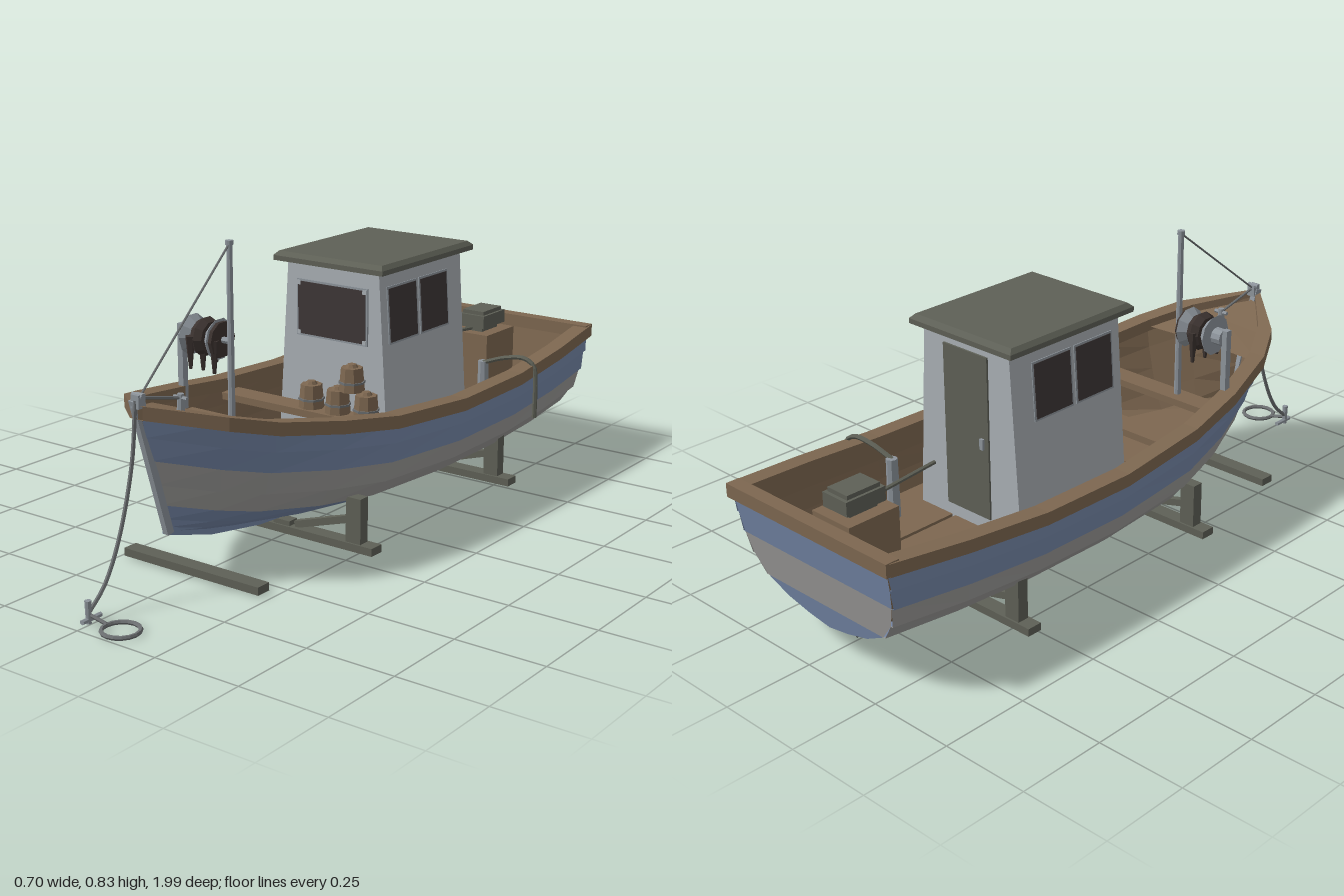
import * as THREE from 'three';

const mat = (name, color, side = THREE.FrontSide) => {
  const m = new THREE.MeshStandardMaterial({ color, side, flatShading: true });
  m.name = name;
  return m;
};
const V = (x, y, z) => new THREE.Vector3(x, y, z);

export function createModel() {
  const blue = mat('hullBlue', 0x7486a6, THREE.DoubleSide);
  const grey = mat('hullGrey', 0x9b9a98, THREE.DoubleSide);
  const wood = mat('wood', 0x7d6750, THREE.DoubleSide);
  const olive = mat('olive', 0x5e6056);
  const white = mat('cabinPaint', 0xa9afb4);
  const glass = mat('darkGlass', 0x3d3636);
  const metal = mat('metal', 0x8d949b);
  const net = mat('darkNet', 0x3b322f);
  const rope = mat('rope', 0x6d7072);

  const root = new THREE.Group();
  root.name = 'fishingBoat';
  const boat = new THREE.Group();
  boat.name = 'boat';
  boat.position.x = -0.008;
  root.add(boat);

  const add = (name, geo, m, x = 0, y = 0, z = 0) => {
    const mesh = new THREE.Mesh(geo, m);
    mesh.name = name;
    mesh.position.set(x, y, z);
    boat.add(mesh);
    return mesh;
  };
  const box = (name, m, w, h, d, x, y, z) => add(name, new THREE.BoxGeometry(w, h, d), m, x, y, z);
  const cyl = (name, m, r1, r2, h, x, y, z, n = 8) => add(name, new THREE.CylinderGeometry(r1, r2, h, n), m, x, y, z);
  // Straight rod or square bar between two points
  const rod = (name, m, a, b, r, n = 6) => {
    const c = a.clone().add(b).multiplyScalar(0.5);
    const o = cyl(name, m, r, r, a.distanceTo(b), c.x, c.y, c.z, n);
    o.quaternion.setFromUnitVectors(V(0, 1, 0), b.clone().sub(a).normalize());
    return o;
  };
  const bar = (name, m, a, b, w) => {
    const c = a.clone().add(b).multiplyScalar(0.5);
    const o = box(name, m, w, w, a.distanceTo(b), c.x, c.y, c.z);
    o.lookAt(b);
    return o;
  };
  const tube = (name, m, pts, r, seg = 20) =>
    add(name, new THREE.TubeGeometry(new THREE.CatmullRomCurve3(pts), seg, r, 6), m);
  // Faceted surface through a grid of points
  const surface = (name, m, rows) => {
    const p = [];
    for (let i = 0; i < rows.length - 1; i++) {
      for (let j = 0; j < rows[i].length - 1; j++) {
        const [a, b, c, d] = [rows[i][j], rows[i][j + 1], rows[i + 1][j + 1], rows[i + 1][j]];
        for (const v of [a, b, c, a, c, d]) p.push(v.x, v.y, v.z);
      }
    }
    const g = new THREE.BufferGeometry();
    g.setAttribute('position', new THREE.Float32BufferAttribute(p, 3));
    g.computeVertexNormals();
    return add(name, g, m);
  };

  // Hull stations: z, half beam, sheer height, keel height, bow sharpness, rake
  const stations = [
    [-0.985, 0.29, 0.385, 0.085, 0, 0.05], [-0.75, 0.315, 0.365, 0.075, 0, 0.03],
    [-0.5, 0.328, 0.345, 0.07, 0, 0.01], [-0.2, 0.328, 0.34, 0.068, 0, 0],
    [0.1, 0.31, 0.36, 0.07, 0.05, 0], [0.3, 0.28, 0.39, 0.08, 0.25, -0.02],
    [0.5, 0.225, 0.425, 0.1, 0.55, -0.05], [0.62, 0.16, 0.455, 0.12, 0.8, -0.07],
    [0.755, 0.006, 0.49, 0.15, 1, -0.09],
  ];
  const fy = [1, 0.79, 0.6, 0.4, 0.23, 0.11, 0.04, 0];
  const fxMid = [1, 0.99, 0.965, 0.9, 0.76, 0.52, 0.25, 0];
  const fxBow = [1, 0.86, 0.7, 0.55, 0.42, 0.28, 0.13, 0];
  const hullPoint = (st, j, s, out = 0) => {
    const [z, hb, top, keel, v, rake] = st;
    const x = hb * THREE.MathUtils.lerp(fxMid[j], fxBow[j], v) + out * Math.min(1, hb / 0.1);
    return V(s * Math.max(0, x), THREE.MathUtils.lerp(keel, top, fy[j]), z + rake * (1 - fy[j]));
  };
  const strakePaint = [blue, blue, grey, grey, blue, blue, blue];
  const floorY = 0.18;
  const innerPoint = (st, j, s) => {
    const p = hullPoint(st, j, s, -0.02);
    p.y = Math.max(p.y, floorY);
    return p;
  };

  // Overlapping planks, lining and gunwale on both sides
  for (const s of [-1, 1]) {
    strakePaint.forEach((m, j) => surface('hullPlank', m, stations.map((st) => [
      hullPoint(st, j, s), hullPoint(st, j + 1, s, j < 4 ? 0.007 : 0), hullPoint(st, j + 1, s),
    ])));
    surface('hullLining', wood, stations.map((st) => fy.map((_, j) => innerPoint(st, j, s))));
    surface('gunwale', wood, stations.map(([z, hb, y], i) => {
      const o = s * (hb + 0.015), n = s * Math.max(0, hb - 0.035), zz = i === 8 ? z + 0.008 : z;
      return [V(o, y - 0.018, zz), V(o, y + 0.018, zz), V(n, y + 0.018, zz), V(n, y - 0.018, zz), V(o, y - 0.018, zz)];
    }));
  }
  // Transom, painted in bands
  const aft = stations[0];
  strakePaint.forEach((m, j) => {
    surface('transom', m, [-1, 1].map((s) => [hullPoint(aft, j, s), hullPoint(aft, j + 1, s)]));
    surface('transomLining', wood, [-1, 1].map((s) => [innerPoint(aft, j, s), innerPoint(aft, j + 1, s)])).position.z = 0.022;
  });
  box('sternRail', wood, 0.605, 0.038, 0.04, 0, 0.386, -0.975);

  // Foredeck and thwarts
  surface('foredeck', wood, stations.slice(6).map(([z, hb, y]) => [V(-hb, y - 0.008, z), V(0, y, z), V(hb, y - 0.008, z)]));
  box('middleThwart', wood, 0.59, 0.02, 0.07, 0, 0.325, 0.065);
  box('forwardThwart', wood, 0.5, 0.02, 0.065, 0, 0.33, 0.305);
  for (const x of [-0.13, 0, 0.13]) box('floorBoard', wood, 0.118, 0.008, 1.2, x, floorY + 0.004, -0.32);

  // Keel and stem
  const keelShape = new THREE.Shape([
    [0.67, 0.145], [0.5, 0.095], [0.3, 0.062], [0.1, 0.05], [-0.7, 0.045],
    [-0.7, 0.08], [0.1, 0.08], [0.3, 0.09], [0.5, 0.12], [0.67, 0.17],
  ].map(([a, b]) => new THREE.Vector2(a, b)));
  const keelGeo = new THREE.ExtrudeGeometry(keelShape, { depth: 0.018, bevelEnabled: false });
  keelGeo.rotateY(-Math.PI / 2).translate(0.009, 0, 0);
  add('keel', keelGeo, blue);
  bar('stem', metal, V(0, 0.52, 0.762), V(0, 0.15, 0.666), 0.02);
  box('stemHead', metal, 0.026, 0.035, 0.026, 0, 0.517, 0.755);
  cyl('bowRoller', metal, 0.008, 0.008, 0.035, 0, 0.53, 0.755).rotation.z = Math.PI / 2;
  cyl('mooringBitt', metal, 0.009, 0.011, 0.055, 0, 0.472, 0.6);
  rod('bittCrossbar', metal, V(-0.022, 0.488, 0.6), V(0.022, 0.488, 0.6), 0.006);
  rod('bowLine', rope, V(0, 0.488, 0.6), V(0, 0.525, 0.755), 0.004);

  // Wheelhouse with walls leaning inward
  const wallX = (y) => 0.155 + 0.065 * (0.715 - y);
  const cabinGeo = new THREE.BoxGeometry(2, 0.535, 0.405);
  const cp = cabinGeo.attributes.position;
  for (let i = 0; i < cp.count; i++) cp.setX(i, cp.getX(i) * wallX(cp.getY(i) + 0.4475));
  cabinGeo.computeVertexNormals();
  add('cabin', cabinGeo, white, 0, 0.4475, -0.2425);
  box('roofSlab', olive, 0.372, 0.014, 0.458, 0, 0.721, -0.24);
  const roof = cyl('roofTop', olive, 0.94, 1, 0.012, 0, 0.734, -0.24, 4);
  roof.geometry.rotateY(Math.PI / 4);
  roof.scale.set(0.372 / Math.SQRT2, 1, 0.458 / Math.SQRT2);
  box('frontWindowFrame', metal, 0.242, 0.162, 0.006, 0, 0.585, -0.038);
  box('frontWindow', glass, 0.23, 0.15, 0.009, 0, 0.585, -0.037);
  for (const x of [-1, 1]) for (const y of [-1, 1]) {
    box('windowCorner', white, 0.012, 0.012, 0.009, x * 0.112, 0.585 + y * 0.071, -0.036);
  }
  for (const s of [-1, 1]) for (const z of [-0.143, -0.298]) {
    const f = box('sideWindowFrame', metal, 0.006, 0.162, 0.144, s * wallX(0.59), 0.59, z);
    const g = box('sideWindow', glass, 0.0095, 0.15, 0.132, s * wallX(0.59), 0.59, z);
    f.rotation.z = g.rotation.z = s * 0.065;
  }
  box('cabinDoor', olive, 0.16, 0.46, 0.009, 0, 0.455, -0.446);
  box('doorHandle', metal, 0.012, 0.03, 0.01, -0.06, 0.44, -0.453);

  // Mast and forestay
  cyl('mast', metal, 0.008, 0.01, 0.5, -0.077, 0.583, 0.31);
  cyl('mastCap', metal, 0.011, 0.011, 0.012, -0.077, 0.828, 0.31);
  rod('forestay', rope, V(-0.077, 0.825, 0.31), V(0, 0.52, 0.755), 0.003);

  // Net hauler, shaft running along x
  box('haulerPost', metal, 0.018, 0.24, 0.02, -0.252, 0.465, 0.305);
  rod('haulerShaft', metal, V(-0.25, 0.56, 0.305), V(-0.077, 0.56, 0.305), 0.009);
  for (const [name, m, x, w, r1, r2] of [
    ['haulerHub', metal, -0.23, 0.03, 0.024, 0.024], ['haulerFlange', metal, -0.202, 0.022, 0.058, 0.038],
    ['netBundle', net, -0.176, 0.02, 0.045, 0.056], ['netBundle', net, -0.156, 0.02, 0.056, 0.045],
    ['haulerFlange', metal, -0.13, 0.022, 0.038, 0.058], ['netEdge', net, -0.114, 0.012, 0.05, 0.05],
  ]) cyl(name, m, r1, r2, w, x, 0.56, 0.305, 10).rotation.z = Math.PI / 2;
  [[-0.18, 0.05], [-0.162, 0.02], [-0.17, -0.045], [-0.114, 0.03]].forEach(([x, dz], i) => {
    cyl('hangingNet', net, 0.014, 0.005, 0.09, x, 0.525 - 0.008 * (i % 2), 0.305 + dz, 5);
  });

  // Stacked pots on the thwart
  for (const [x, y] of [[0.005, 0.37], [0.095, 0.37], [0.19, 0.37], [0.142, 0.44]]) {
    cyl('pot', wood, 0.03, 0.036, 0.066, x, y, 0.065, 8);
    cyl('potBand', rope, 0.037, 0.037, 0.006, x, y - 0.008, 0.065, 8);
    cyl('potLid', wood, 0.012, 0.018, 0.01, x, y + 0.037, 0.065, 8);
  }

  // Engine, tiller and propeller
  box('engineBox', wood, 0.14, 0.2, 0.16, 0, 0.28, -0.83);
  box('engineBase', olive, 0.06, 0.02, 0.09, 0, 0.388, -0.83);
  box('engineCowl', olive, 0.09, 0.04, 0.125, 0, 0.414, -0.832);
  box('engineCowlTop', olive, 0.074, 0.014, 0.105, 0, 0.439, -0.832);
  rod('tiller', olive, V(0, 0.392, -0.77), V(0, 0.41, -0.565), 0.006);
  rod('driveLeg', olive, V(0, 0.16, -0.84), V(0, 0.05, -0.84), 0.013);
  rod('propellerHub', olive, V(0, 0.055, -0.79), V(0, 0.055, -0.885), 0.011);
  for (let k = 0; k < 3; k++) {
    const b = box('propellerBlade', olive, 0.018, 0.028, 0.005, 0, 0, 0);
    b.geometry.rotateY(0.5).translate(0, 0.016, 0);
    b.position.set(0, 0.055, -0.87);
    b.rotation.z = (k * Math.PI * 2) / 3;
  }

  // Bilge pump with a hose over the side
  cyl('bilgePump', metal, 0.016, 0.018, 0.18, 0.175, 0.27, -0.56);
  tube('dischargeHose', olive, [V(0.175, 0.355, -0.557), V(0.25, 0.38, -0.565), V(0.31, 0.385, -0.572),
    V(0.338, 0.365, -0.575), V(0.345, 0.32, -0.575), V(0.345, 0.21, -0.575)], 0.007);

  // Cradle under the hull
  for (const z of [0.18, -0.52]) {
    box('cradleBeam', olive, 0.616, 0.022, 0.045, 0, 0.019, z);
    box('cradleBlock', olive, 0.056, 0.016, 0.035, 0, 0.036, z);
    for (const s of [-1, 1]) {
      box('cradlePost', olive, 0.048, 0.13, 0.034, s * 0.243, 0.093, z);
      bar('cradleBrace', olive, V(s * 0.225, 0.09, z), V(s * 0.04, 0.038, z), 0.02);
    }
  }
  box('looseBeam', olive, 0.456, 0.022, 0.045, 0, 0.017, 0.56);

  // Mooring line, stake and ground ring
  tube('mooringLine', rope, [V(0, 0.52, 0.765), V(0, 0.36, 0.785), V(0, 0.18, 0.84), V(0, 0.08, 0.895), V(0, 0.03, 0.95)], 0.0055);
  cyl('mooringStake', metal, 0.009, 0.007, 0.06, 0, 0.032, 0.952);
  rod('stakeBar', metal, V(0, 0.012, 0.91), V(0, 0.012, 0.975), 0.007);
  rod('ringLine', rope, V(0, 0.025, 0.95), V(0.052, 0.012, 0.945), 0.005);
  add('groundRing', new THREE.TorusGeometry(0.048, 0.006, 6, 16), rope, 0.1, 0.009, 0.945).rotation.x = Math.PI / 2;

  return root;
}
